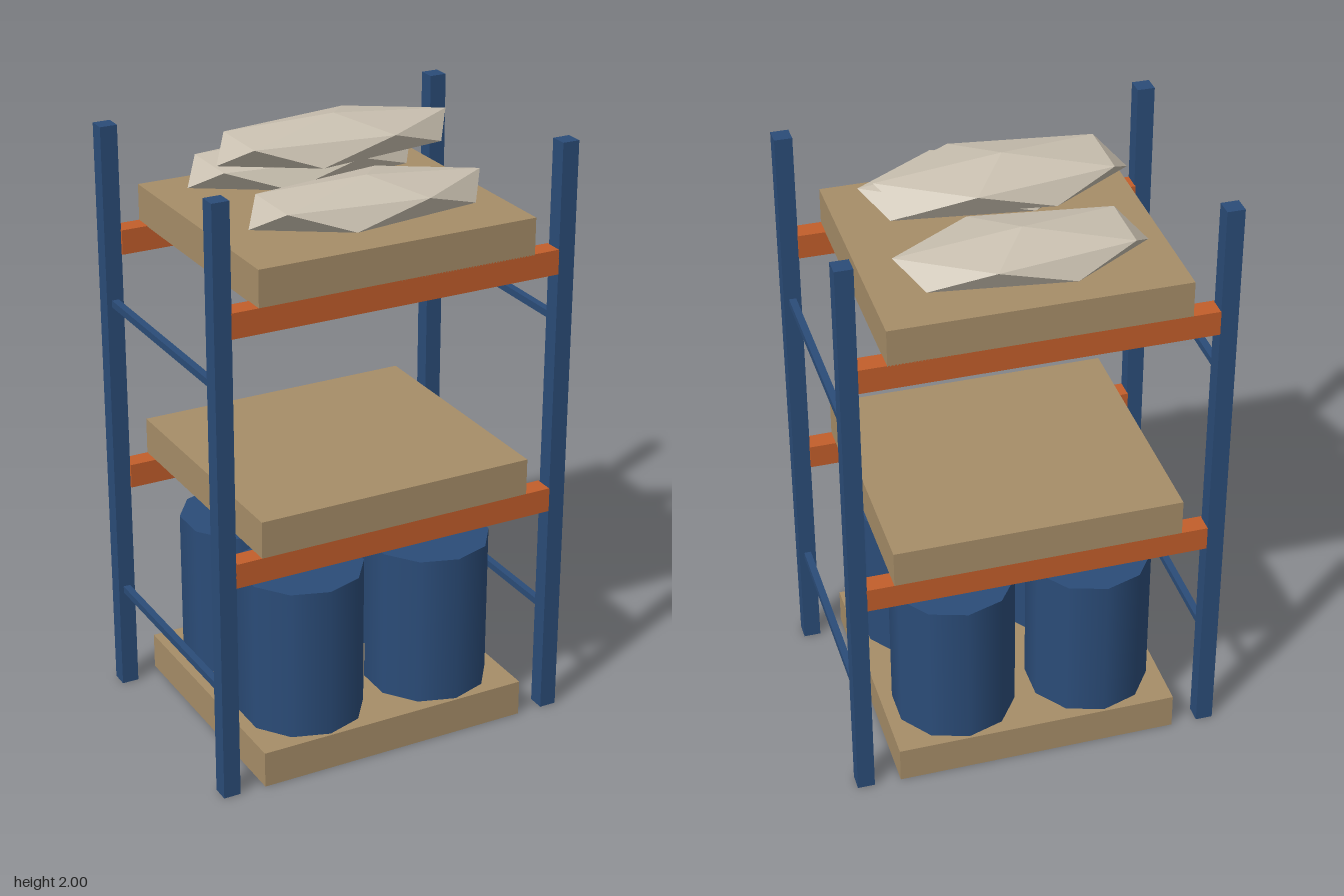
import * as THREE from 'three';

const material = (name, color, extra = {}) => {
  const m = new THREE.MeshStandardMaterial({ color, ...extra });
  m.name = name;
  return m;
};

// Unit sack shape: twelve points, two poles and two staggered rings of five
function sackGeometry(rx, ry, rz) {
  const ring = (up, k) => {
    const a = (k * 2 + (up ? 0 : 1)) * Math.PI / 5;
    return [rx * Math.cos(a), (up ? 1 : -1) * ry / Math.sqrt(5), rz * Math.sin(a)];
  };
  const pos = [];
  for (let k = 0; k < 5; k++) {
    const u0 = ring(true, k), u1 = ring(true, k + 1);
    const l0 = ring(false, k), l1 = ring(false, k + 1);
    pos.push(
      ...[0, ry, 0], ...u1, ...u0,
      ...u0, ...u1, ...l0,
      ...l0, ...u1, ...l1,
      ...[0, -ry, 0], ...l0, ...l1
    );
  }
  const g = new THREE.BufferGeometry();
  g.setAttribute('position', new THREE.Float32BufferAttribute(pos, 3));
  g.computeVertexNormals();
  return g;
}

export function createModel() {
  const root = new THREE.Group();
  root.name = 'storageRack';

  const blue = material('blue steel', 0x2b4c78);
  const orange = material('orange beam', 0xc25e2b);
  const wood = material('pallet wood', 0xa68d68);
  const cloth = material('sack cloth', 0xc9c0b0, { flatShading: true });

  const add = (name, geometry, mat, x, y, z) => {
    const mesh = new THREE.Mesh(geometry, mat);
    mesh.name = name;
    mesh.position.set(x, y, z);
    root.add(mesh);
  };

  const postGeo = new THREE.BoxGeometry(0.056, 1.942, 0.056);
  const braceGeo = new THREE.BoxGeometry(0.023, 0.023, 0.74);
  const beamGeo = new THREE.BoxGeometry(1.1, 0.08, 0.065);
  const palletGeo = new THREE.BoxGeometry(0.926, 0.12, 0.84);
  const drumGeo = new THREE.CylinderGeometry(0.202, 0.202, 0.505, 10);
  const sackGeo = sackGeometry(0.39, 0.074, 0.177);

  for (const x of [-1, 1]) {
    // Uprights and drums, one per corner
    for (const z of [-1, 1]) {
      add('post', postGeo, blue, x * 0.577, 0.971, z * 0.392);
      add('drum', drumGeo, blue, x * 0.228, 0.3725, z * 0.21);
    }
    // Side braces
    for (const y of [0.353, 1.365]) add('sideBrace', braceGeo, blue, x * 0.577, y, 0);
  }

  // Shelf beams, front and back
  for (const y of [0.762, 1.565])
    for (const z of [-1, 1]) add('shelfBeam', beamGeo, orange, 0, y, z * 0.3875);

  // Pallets on the floor and both shelves
  for (const y of [0.06, 0.862, 1.662]) add('pallet', palletGeo, wood, 0, y, 0);

  // Stacked sacks
  for (const [y, z] of [[1.794, -0.21], [1.794, 0.21], [1.926, 0]])
    add('sack', sackGeo, cloth, 0, y, z);

  return root;
}
